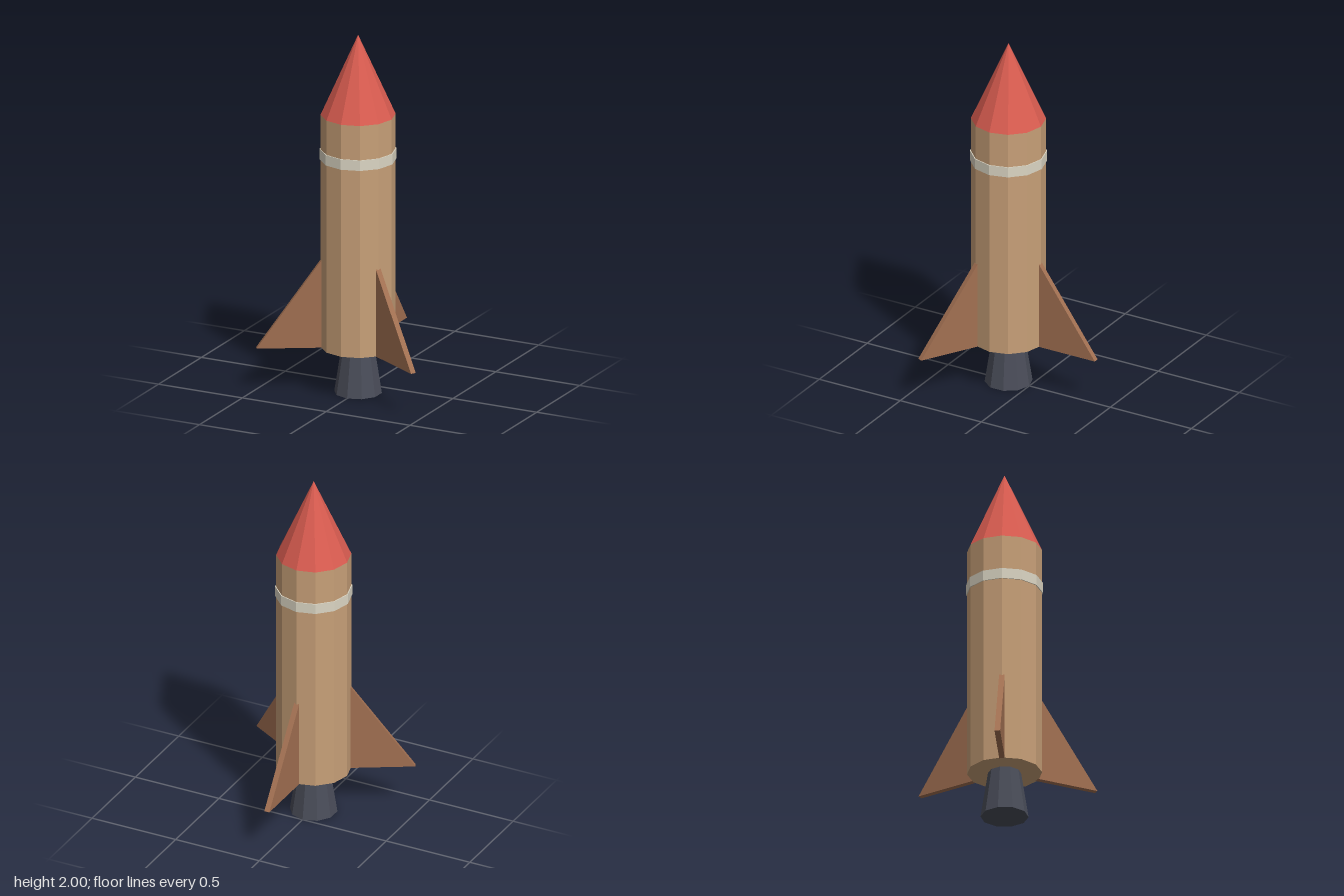
import * as THREE from 'three';

const AXIS_Z = 0.128; // the hull axis sits forward of the centre, as one fin points straight back

const material = (name, color) => {
  const m = new THREE.MeshStandardMaterial({ color, flatShading: true });
  m.name = name;
  return m;
};

export function createModel() {
  const rocket = new THREE.Group();
  rocket.name = 'rocket';
  rocket.position.z = AXIS_Z;

  const tan = material('tan', 0xc8a078);
  const red = material('red', 0xd95c50);
  const cream = material('cream', 0xdcd6c4);
  const brown = material('brown', 0xa27052);
  const slate = material('slate', 0x4a4d59);

  const add = (name, geometry, mat) => {
    const mesh = new THREE.Mesh(geometry, mat);
    mesh.name = name;
    rocket.add(mesh);
    return mesh;
  };

  // Faceted solid of revolution between two heights
  const drum = (name, rTop, rBottom, y0, y1, sides, mat) => {
    const geometry = new THREE.CylinderGeometry(rTop, rBottom, y1 - y0, sides);
    geometry.translate(0, (y0 + y1) / 2, 0);
    return add(name, geometry, mat);
  };

  drum('hull', 0.2, 0.2, 0.255, 1.555, 12, tan);
  drum('band', 0.205, 0.205, 1.305, 1.363, 12, cream);
  drum('nozzle', 0.088, 0.128, 0, 0.257, 10, slate);

  const nose = new THREE.ConeGeometry(0.2, 0.445, 12);
  nose.translate(0, 1.555 + 0.445 / 2, 0);
  add('noseCone', nose, red);

  // Three triangular fins, 120 degrees apart
  const outline = new THREE.Shape([
    new THREE.Vector2(0.19, 0.255),
    new THREE.Vector2(0.541, 0.255),
    new THREE.Vector2(0.19, 0.752),
  ]);
  const fin = new THREE.ExtrudeGeometry(outline, { depth: 0.03, bevelEnabled: false });
  fin.translate(0, 0, -0.015);
  ['rearFin', 'rightFin', 'leftFin'].forEach((name, i) => {
    add(name, fin, brown).rotation.y = Math.PI / 2 + (i * Math.PI * 2) / 3;
  });

  const model = new THREE.Group();
  model.name = 'model';
  model.add(rocket);
  return model;
}
